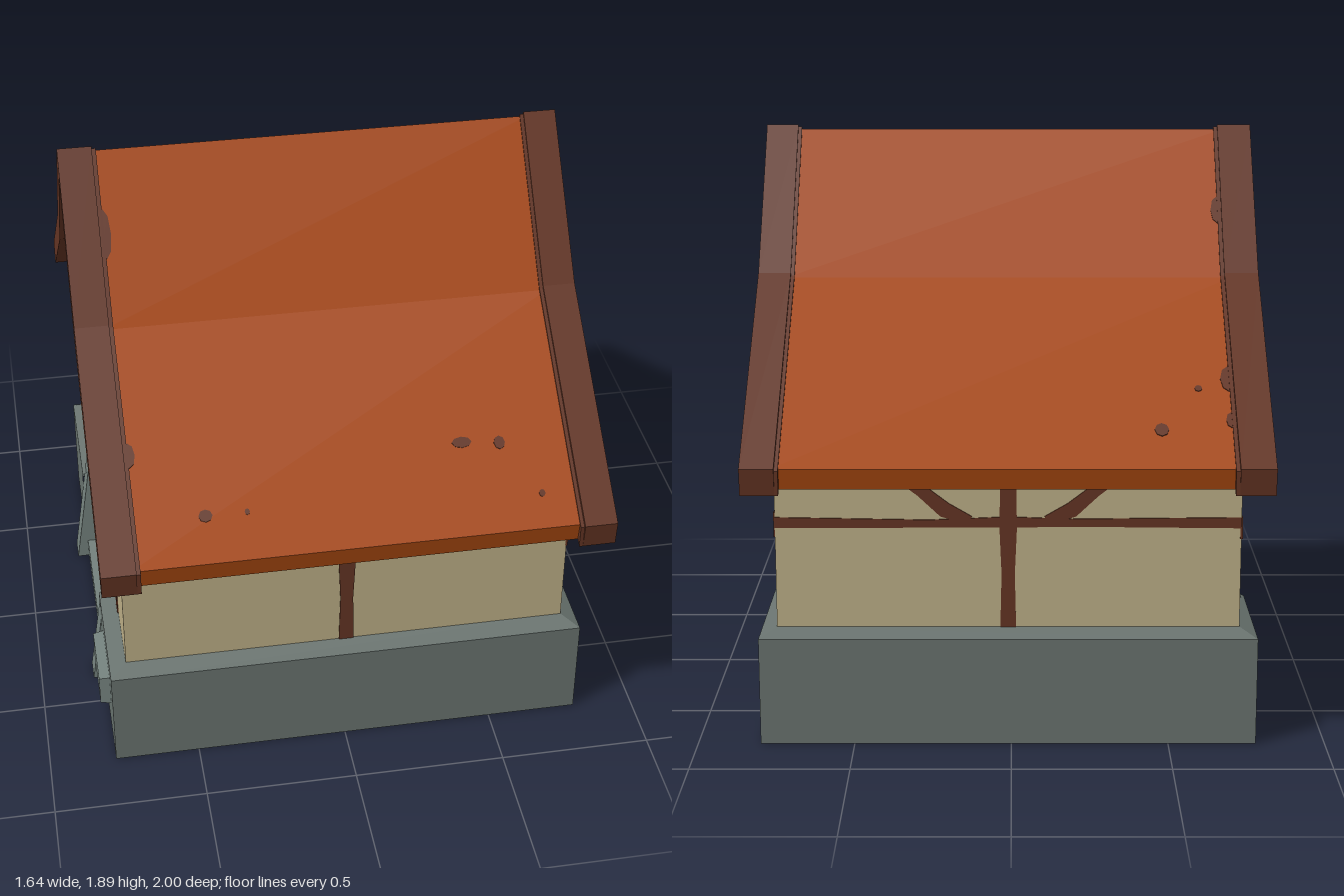
import * as THREE from 'three';

const mat = (name, color) => {
  const m = new THREE.MeshStandardMaterial({ color, side: THREE.DoubleSide });
  m.name = name;
  return m;
};
const M = {
  plaster: mat('plaster', 0xbcae86),
  timber: mat('timber', 0x633423),
  tile: mat('roof orange', 0xa6470f),
  stone: mat('base stone', 0x68726e),
  trim: mat('trim stone', 0x74817d),
};
const CX = 0.01, WALL = 0.735, BASE = 0.79, BASE_TOP = 0.35, WALL_Y = 0.375;
const SIDE = -Math.PI / 2; // turns a drawing in (z, y) to face along x

function add(parent, name, geo, material, x = 0, y = 0, z = 0) {
  const m = new THREE.Mesh(geo, material);
  m.name = name;
  m.position.set(x, y, z);
  parent.add(m);
  return m;
}
const poly = (pts) => new THREE.Shape(pts.map((p) => new THREE.Vector2(p[0], p[1])));
const extrude = (shape, depth) => new THREE.ExtrudeGeometry(shape, { depth, bevelEnabled: false, curveSegments: 10 });

// flat-shaded faces from four-cornered outlines
function quads(list) {
  const pos = [];
  for (const [a, b, c, d] of list) pos.push(...a, ...b, ...c, ...a, ...c, ...d);
  const g = new THREE.BufferGeometry();
  g.setAttribute('position', new THREE.Float32BufferAttribute(pos, 3));
  g.computeVertexNormals();
  return g;
}

// thin painted timber following points [u, v, width]
function bar(parent, pts) {
  const a = [], b = [];
  pts.forEach(([u, v, w], i) => {
    const p = pts[Math.max(0, i - 1)], q = pts[Math.min(pts.length - 1, i + 1)];
    const dx = q[0] - p[0], dy = q[1] - p[1], k = w / 2 / Math.hypot(dx, dy);
    a.push([u - dy * k, v + dx * k]);
    b.unshift([u + dy * k, v - dx * k]);
  });
  add(parent, 'timber', extrude(poly([...a, ...b]), 0.008), M.timber, 0, 0, -0.004);
}
const mirrored = (parent, pts) => [1, -1].forEach((s) => bar(parent, pts.map(([u, v, w]) => [u * s, v, w])));

function wall(root, name, shape, x, z, rot) {
  const g = new THREE.Group();
  g.name = name;
  g.position.set(x, 0, z);
  g.rotation.y = rot;
  add(g, 'plaster', new THREE.ShapeGeometry(shape), M.plaster);
  root.add(g);
  return g;
}

// arched outline standing on y0, with its spring line at 0.40
function archPath(r, y0) {
  const pts = [[-r, y0]];
  for (let i = 0; i <= 10; i++) {
    const t = Math.PI * (1 - i / 10);
    pts.push([r * Math.cos(t), 0.4 + r * Math.sin(t)]);
  }
  pts.push([r, y0]);
  return pts;
}
const octagon = (r) => Array.from({ length: 8 }, (_, i) => {
  const t = ((i + 0.5) / 8) * Math.PI * 2;
  return [r * Math.cos(t), 1.21 + r * 1.1 * Math.sin(t)];
});
const rect = (u, v, w, h) => [[u - w / 2, v - h / 2], [u + w / 2, v - h / 2], [u + w / 2, v + h / 2], [u - w / 2, v + h / 2]];

// window sunk into the wall: sides plus back panel (local -z points indoors)
function recess(parent, name, outline, depth) {
  const n = outline.length;
  const sides = outline.map((p, i) => {
    const q = outline[(i + 1) % n];
    return [[...p, 0.005], [...q, 0.005], [...q, -depth], [...p, -depth]];
  });
  add(parent, name + 'Sides', quads(sides), M.timber);
  add(parent, name + 'Panel', new THREE.ShapeGeometry(poly(outline)), M.timber, 0, 0, -depth);
}

function makeBase(root) {
  const b = BASE, w = WALL, door = 0.34, list = [];
  const side = (f, u0, u1, k0, k1) => {
    list.push([f(u0, 0, b), f(u1, 0, b), f(u1, BASE_TOP, b), f(u0, BASE_TOP, b)]);
    list.push([f(u0, BASE_TOP, b), f(u1, BASE_TOP, b), f(k1, WALL_Y, w), f(k0, WALL_Y, w)]);
  };
  side((u, y, d) => [u, y, d], -b, b, -w, w);
  side((u, y, d) => [u, y, -d], -b, b, -w, w);
  side((u, y, d) => [d, y, u], -b, b, -w, w);
  side((u, y, d) => [-d, y, u], -b, -door, -w, -door);
  side((u, y, d) => [-d, y, u], door, b, door, w);
  add(root, 'stoneBase', quads(list), M.stone, CX);

  // loose stone block with a chamfered outer face
  const g = new THREE.BoxGeometry(0.1, 0.13, 0.26), p = g.attributes.position;
  for (let i = 0; i < p.count; i++) if (p.getX(i) < 0) p.setXYZ(i, p.getX(i), p.getY(i) * 0.8, p.getZ(i) * 0.88);
  g.computeVertexNormals();
  add(root, 'wallStone', g, M.trim, -0.765, 0.235, 0.59);
}

function makeWalls(root) {
  // long walls under the eaves
  for (const s of [1, -1]) {
    const g = wall(root, s > 0 ? 'frontWall' : 'backWall', poly(rect(0, 0.725, WALL * 2, 0.7)), CX, s * WALL, 0);
    bar(g, [[-WALL, 0.718, 0.035], [-0.2, 0.718, 0.025], [0, 0.72, 0.035], [0.25, 0.715, 0.025], [WALL, 0.718, 0.035]]);
    bar(g, [[0, WALL_Y, 0.05], [0, 0.55, 0.042], [0, 0.7, 0.055], [0, 1.05, 0.045]]);
    mirrored(g, [[0.12, 0.725, 0.03], [0.2, 0.76, 0.05], [0.27, 0.82, 0.04], [0.31, 0.87, 0.07], [0.36, 0.9, 0.06]]);
  }
  // gable walls
  const top = [[WALL, 1.08], [0.345, 1.38], [0, 1.82], [-0.345, 1.38], [-WALL, 1.08]];
  const plain = poly([[-WALL, WALL_Y], [WALL, WALL_Y], ...top]);
  const right = wall(root, 'plainGable', plain, CX + WALL, 0, SIDE);
  const entry = poly([[-WALL, WALL_Y], ...archPath(0.33, WALL_Y), [WALL, WALL_Y], ...top]);
  const openings = [rect(0.49, 0.88, 0.22, 0.31), rect(-0.49, 0.88, 0.22, 0.31), octagon(0.115)];
  openings.forEach((o) => entry.holes.push(new THREE.Path(o.map((p) => new THREE.Vector2(...p)))));
  const left = wall(root, 'entranceGable', entry, CX - WALL, 0, SIDE);

  mirrored(right, [[0, 1.27, 0.06], [0.12, 1.25, 0.06], [0.3, 1.19, 0.05], [0.38, 1.17, 0.075], [0.5, 1.13, 0.05], [WALL, 1.08, 0.04]]);
  mirrored(right, [[0.375, WALL_Y, 0.05], [0.365, 0.6, 0.045], [0.37, 0.72, 0.065], [0.37, 0.95, 0.045], [0.355, 1.15, 0.065], [0.35, 1.36, 0.055]]);
  bar(right, [[0, WALL_Y, 0.065], [0, 0.6, 0.05], [0, 0.72, 0.08], [0, 0.95, 0.045], [0, 1.25, 0.08], [0, 1.45, 0.055], [0, 1.8, 0.055]]);
  mirrored(right, [[0, 0.71, 0.045], [0.12, 0.71, 0.05], [0.25, 0.705, 0.04], [0.37, 0.71, 0.06], [0.5, 0.705, 0.05], [0.58, 0.71, 0.08], [WALL, 0.71, 0.08]]);

  mirrored(left, [[0.1, 1.25, 0.06], [0.35, 1.18, 0.06], [0.5, 1.13, 0.05], [WALL, 1.08, 0.04]]);
  mirrored(left, [[0.345, 0.6, 0.05], [0.35, 0.9, 0.045], [0.35, 1.15, 0.06], [0.35, 1.36, 0.055]]);
  mirrored(left, [[0.21, 0.7, 0.05], [0.36, 0.7, 0.05], [0.58, 0.695, 0.055], [WALL, 0.7, 0.07]]);
  mirrored(left, [[0.46, WALL_Y, 0.05], [0.46, 0.55, 0.04], [0.46, 0.7, 0.05]]);
  bar(left, [[0, 0.74, 0.05], [0, 0.95, 0.045], [0, 1.1, 0.06]]);
  bar(left, [[0, 1.33, 0.06], [0, 1.5, 0.055], [0, 1.8, 0.055]]);
  // local +z of this wall is outdoors (-x)
  openings.forEach((o, i) => recess(left, i < 2 ? 'window' : 'roundWindow', o, i < 2 ? 0.05 : 0.07));
}

function makeDoor(root) {
  const g = new THREE.Group();
  g.name = 'entrance';
  g.rotation.y = SIDE;
  root.add(g); // local x = world z, local z = world -x
  add(g, 'door', new THREE.ShapeGeometry(poly(archPath(0.305, 0.1))), M.timber, 0, 0, 0.67);
  // worn orange patches on the door
  for (const [u, v, a, b, r] of [[-0.1, 0.28, 0.05, 0.03, 0.5], [0.08, 0.25, 0.05, 0.035, 0.2], [0.14, 0.38, 0.025, 0.02, 0],
    [-0.02, 0.42, 0.09, 0.012, 0.15], [-0.16, 0.4, 0.03, 0.015, 0.4], [0.05, 0.5, 0.05, 0.01, -0.2]]) {
    const geo = new THREE.CylinderGeometry(1, 1, 0.008, 9).rotateX(Math.PI / 2).scale(a, b, 1).rotateZ(r);
    add(g, 'doorPatch', geo, M.tile, u, v, 0.67);
  }
  // arch ring on flared posts
  const ring = poly([...archPath(0.365, 0.35), ...archPath(0.3, 0.35).reverse()]);
  add(g, 'doorArch', extrude(ring, 0.1), M.trim, 0, 0, 0.66);
  for (const s of [1, -1]) {
    const post = new THREE.BoxGeometry(0.08, 0.4, 0.1), p = post.attributes.position;
    for (let i = 0; i < p.count; i++) if (p.getZ(i) > 0 && p.getY(i) < 0) p.setZ(i, 0.11);
    post.computeVertexNormals();
    add(g, 'doorPost', post, M.trim, s * 0.34, 0.2, 0.71);
  }
  add(g, 'lowerStep', new THREE.BoxGeometry(0.62, 0.07, 0.11), M.trim, 0, 0.035, 0.725);
  add(g, 'upperStep', new THREE.BoxGeometry(0.62, 0.07, 0.06), M.trim, 0, 0.1, 0.695);
}

function makeRoof(root) {
  const profile = (half) => poly([...half, ...half.slice().reverse().map(([z, y]) => [-z, y])]);
  const slab = (name, half, x0, x1, m) => {
    add(root, name, extrude(profile(half), x1 - x0), m, x1).rotation.y = SIDE;
  };
  const band = (t) => [[0, 1.79], [0.335, 1.365], [0.99, 0.875], [1 - t, 0.96 - t], [0.36, 1.45 - t], [0, 1.895 - t]];
  // half profiles run underside first, then back up the outer slope
  const close = (h) => [...h.slice(0, 3), ...h.slice(3)];
  const slope = (h) => {
    const pts = close(h);
    return poly([...pts, ...pts.slice(1, 5).reverse().map(([z, y]) => [-z, y])]);
  };
  const full = (name, h, x0, x1, m) => {
    const [u0, u1, u2, o2, o1, o0] = h, neg = ([z, y]) => [-z, y];
    const shape = poly([u0, u1, u2, o2, o1, o0, neg(o1), neg(o2), neg(u2), neg(u1)]);
    add(root, name, extrude(shape, x1 - x0), m, x1).rotation.y = SIDE;
  };
  full('roofPanel', [[0, 1.8], [0.34, 1.372], [0.97, 0.89], [0.98, 0.955], [0.36, 1.435], [0, 1.88]], -0.71, 0.73, M.tile);
  full('gableBoard', band(0), -0.8, -0.69, M.timber);
  full('gableBoard', band(0), 0.715, 0.82, M.timber);
  full('gableBoardEdge', band(0.008), -0.69, -0.677, M.timber);
  full('gableBoardEdge', band(0.008), 0.703, 0.715, M.timber);

  // weathered spots [x, z, radius along x, radius along slope]
  const spots = [[-0.46, -0.86, 0.022, 0.025], [-0.58, -0.73, 0.012, 0.012], [0.37, 0.74, 0.032, 0.018], [0.49, 0.75, 0.018, 0.022],
    [0.6, 0.89, 0.01, 0.012], [-0.46, 0.86, 0.022, 0.02], [-0.33, 0.86, 0.008, 0.01], [-0.675, -0.7, 0.025, 0.05],
    [-0.675, -0.83, 0.016, 0.03], [-0.675, -0.2, 0.02, 0.05], [-0.675, 0.17, 0.02, 0.08], [-0.675, 0.69, 0.02, 0.04]];
  for (const [x, z, a, b] of spots) {
    const d = Math.abs(z), steep = d < 0.36;
    const y = steep ? 1.88 - (d / 0.36) * 0.445 : 1.435 - ((d - 0.36) / 0.62) * 0.48;
    const tilt = Math.atan2(steep ? 0.445 : 0.48, steep ? 0.36 : 0.62) * Math.sign(z);
    add(root, 'roofSpot', new THREE.CylinderGeometry(1, 1, 0.006, 8).scale(a, 1, b), M.timber, x, y, z).rotation.x = tilt;
  }
}

export function createModel() {
  const root = new THREE.Group();
  root.name = 'cottage';
  makeBase(root);
  makeWalls(root);
  makeDoor(root);
  makeRoof(root);
  return root;
}
